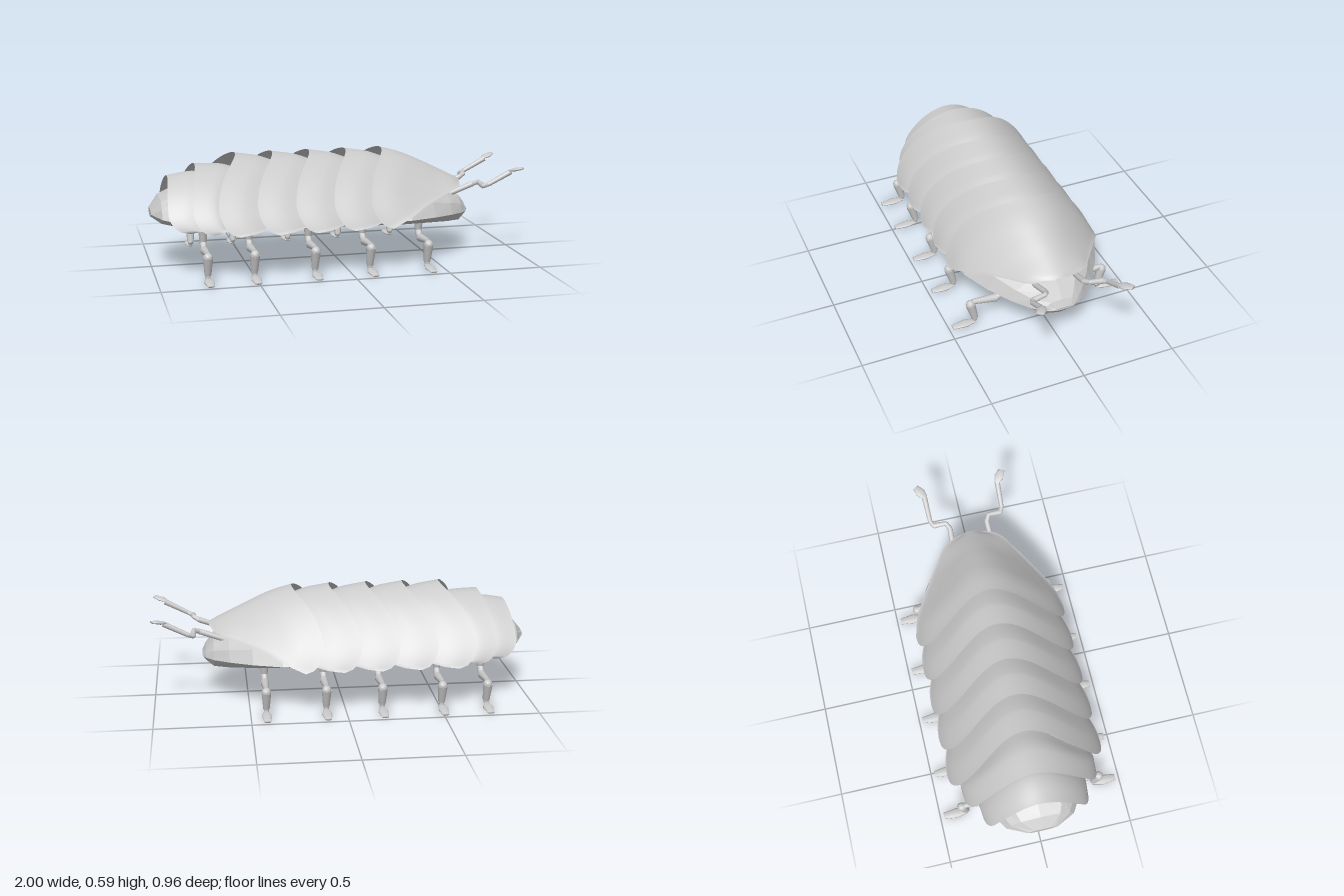
import * as THREE from 'three';
import { ParametricGeometry } from 'three/addons/geometries/ParametricGeometry.js';

const smooth = new THREE.MeshStandardMaterial({ color: 0xcccccc, side: THREE.DoubleSide });
const faceted = new THREE.MeshStandardMaterial({ color: 0xcccccc, flatShading: true });
const V = (x, y, z) => new THREE.Vector3(x, y, z);

// Faceted body: lofted cross-sections [x, half width, bottom, rim, top]
function bodyGeometry() {
  const sections = [
    [-1, 0.08, 0.275, 0.3, 0.32], [-0.95, 0.18, 0.24, 0.29, 0.38], [-0.85, 0.24, 0.22, 0.275, 0.42],
    [-0.7, 0.3, 0.208, 0.265, 0.43], [-0.4, 0.36, 0.2, 0.265, 0.43], [0.1, 0.385, 0.195, 0.265, 0.43],
    [0.33, 0.375, 0.188, 0.262, 0.42], [0.48, 0.305, 0.178, 0.255, 0.4], [0.6, 0.225, 0.166, 0.247, 0.365],
    [0.68, 0.15, 0.162, 0.238, 0.33], [0.72, 0.1, 0.2, 0.236, 0.28], [0.74, 0.055, 0.228, 0.235, 0.242],
  ];
  const pos = [], idx = [], n = 10;
  for (const [x, w, b, r, t] of sections) {
    const half = [[0.58, t - (t - r) * 0.08], [0.87, r + (t - r) * 0.5], [1, r], [0.66, b + (r - b) * 0.35]];
    pos.push(x, t, 0);
    half.forEach(([k, y]) => pos.push(x, y, k * w));
    pos.push(x, b, 0);
    half.reverse().forEach(([k, y]) => pos.push(x, y, -k * w));
  }
  for (let i = 0; i < sections.length - 1; i++) {
    for (let j = 0; j < n; j++) {
      const a = i * n + j, c = i * n + (j + 1) % n;
      idx.push(a, c, a + n, c, c + n, a + n);
    }
  }
  // End caps
  const last = (sections.length - 1) * n;
  for (let j = 1; j < n - 1; j++) {
    idx.push(0, j + 1, j, last, last + j, last + j + 1);
  }
  const g = new THREE.BufferGeometry();
  g.setAttribute('position', new THREE.Float32BufferAttribute(pos, 3));
  g.setIndex(idx);
  g.computeVertexNormals();
  return g;
}

// Arched shell plate: sections front to rear [x, half width, base, top, sweep]
function plateGeometry(sections) {
  const plan = new THREE.CatmullRomCurve3(sections.map(([x, w, , , k]) => V(x, w, k)));
  const rise = new THREE.CatmullRomCurve3(sections.map(([, , b, t]) => V(b, t, 0)));
  const p = V(0, 0, 0), q = V(0, 0, 0);
  return new ParametricGeometry((s, v, target) => {
    plan.getPoint(s, p);
    rise.getPoint(s, q);
    const u = v * 2 - 1, m = Math.abs(u);
    // Sides sweep to the rear, then round forward into the lower lobe
    const sweep = 0.14 * (1 - Math.cos(Math.PI * Math.min(m / 0.85, 1))) / 2;
    const lobe = 0.1 * s * (1 - Math.sqrt(1 - (Math.max(0, m - 0.78) / 0.22) ** 2));
    const across = Math.sign(u) * (1.07 * m - 0.07 * m ** 8);
    target.set(p.x - p.z * sweep + lobe, q.x + (q.y - q.x) * (1 - m ** 1.97), across * p.y);
  }, 16, 96);
}

// Flattened foot with a narrow heel, turned to lie level along its direction
function footMesh(length, width, from, direction) {
  const profile = [[0, 0], [0.5, 0], [1, 0.45], [0.8, 0.75], [0.65, 1], [0, 1]];
  const g = new THREE.LatheGeometry(profile.map(([r, y]) => new THREE.Vector2(r * width, y * length)), 10);
  g.scale(1, 1, 0.35);
  const foot = new THREE.Mesh(g, smooth);
  const along = direction.normalize();
  const sideways = along.clone().cross(V(0, 1, 0)).normalize();
  const up = sideways.clone().cross(along);
  foot.quaternion.setFromRotationMatrix(new THREE.Matrix4().makeBasis(sideways, along, up));
  foot.position.copy(from);
  foot.name = 'foot';
  return foot;
}

// Jointed limb: tapered segments [from, to, start radius, end radius] with ball joints
function limb(name, segments) {
  const group = new THREE.Group();
  group.name = name;
  for (const [a, b, r0, r1] of segments) {
    const d = b.clone().sub(a);
    const seg = new THREE.Mesh(new THREE.CylinderGeometry(r1, r0, d.length(), 10), smooth);
    seg.position.copy(a).addScaledVector(d, 0.5);
    seg.quaternion.setFromUnitVectors(V(0, 1, 0), d.normalize());
    seg.name = 'segment';
    const joint = new THREE.Mesh(new THREE.SphereGeometry(r0 * 0.95, 10, 6), smooth);
    joint.position.copy(a);
    joint.name = 'joint';
    group.add(seg, joint);
  }
  return group;
}

function leg(name, side) {
  const P = (z, y) => V(0, y, z * side);
  const g = limb(name, [
    [P(0.2, 0.24), P(0.19, 0.165), 0.026, 0.018],
    [P(0.19, 0.165), P(0.215, 0.14), 0.018, 0.017],
    [P(0.215, 0.14), P(0.25, 0.133), 0.017, 0.015],
    [P(0.235, 0.132), P(0.37, 0.145), 0.022, 0.014],
    [P(0.378, 0.13), P(0.355, 0.035), 0.026, 0.018],
    [P(0.355, 0.035), P(0.36, 0.018), 0.016, 0.012],
  ]);
  g.add(footMesh(0.13, 0.028, P(0.35, 0.013), P(1, -0.045)));
  return g;
}

function antenna(name, side) {
  const P = (x, y, z) => V(x, y, z * side);
  const g = limb(name, [
    [P(0.58, 0.325, 0.112), P(0.75, 0.386, 0.105), 0.013, 0.015],
    [P(0.75, 0.386, 0.105), P(0.78, 0.4, 0.122), 0.014, 0.013],
    [P(0.78, 0.4, 0.122), P(0.785, 0.39, 0.19), 0.012, 0.016],
    [P(0.785, 0.39, 0.19), P(0.81, 0.4, 0.204), 0.014, 0.012],
    [P(0.81, 0.4, 0.204), P(0.935, 0.465, 0.208), 0.012, 0.015],
  ]);
  g.add(footMesh(0.08, 0.028, P(0.925, 0.47, 0.203), P(0.065, 0.017, 0.042)));
  return g;
}

export function createModel() {
  const model = new THREE.Group();
  model.name = 'woodlouse';
  const add = (name, geometry, material) => {
    const mesh = new THREE.Mesh(geometry, material);
    mesh.name = name;
    model.add(mesh);
  };

  add('body', bodyGeometry(), faceted);

  // Overlapping shell plates
  add('frontPlate', plateGeometry([
    [0.7, 0.03, 0.4, 0.405, 0], [0.66, 0.14, 0.385, 0.425, 0.1], [0.57, 0.225, 0.362, 0.47, 0.35],
    [0.46, 0.31, 0.33, 0.523, 0.6], [0.36, 0.385, 0.28, 0.565, 0.85], [0.255, 0.42, 0.235, 0.595, 1],
  ]), smooth);
  [0.055, -0.145, -0.345, -0.545].forEach((x, i) => add('middlePlate' + (i + 1), plateGeometry([
    [x + 0.27, 0.375, 0.265, 0.52, 1], [x + 0.13, 0.41, 0.245, 0.573, 1], [x, 0.42, 0.235, 0.595, 1],
  ]), smooth));
  add('rearPlate', plateGeometry([
    [-0.5, 0.34, 0.265, 0.5, 0.9], [-0.62, 0.36, 0.25, 0.538, 0.6], [-0.76, 0.36, 0.235, 0.545, 0.35],
  ]), smooth);
  add('tailPlate', plateGeometry([
    [-0.62, 0.27, 0.26, 0.46, 0.3], [-0.77, 0.29, 0.245, 0.505, 0.25], [-0.905, 0.285, 0.235, 0.487, 0.15],
  ]), smooth);

  // Five pairs of legs and one pair of antennae
  for (const [label, side] of [['left', -1], ['right', 1]]) {
    [-0.747, -0.507, -0.19, 0.105, 0.418].forEach((x, i) => {
      const l = leg(label + 'Leg' + (i + 1), side);
      l.position.x = x;
      model.add(l);
    });
    model.add(antenna(label + 'Antenna', side));
  }
  return model;
}
